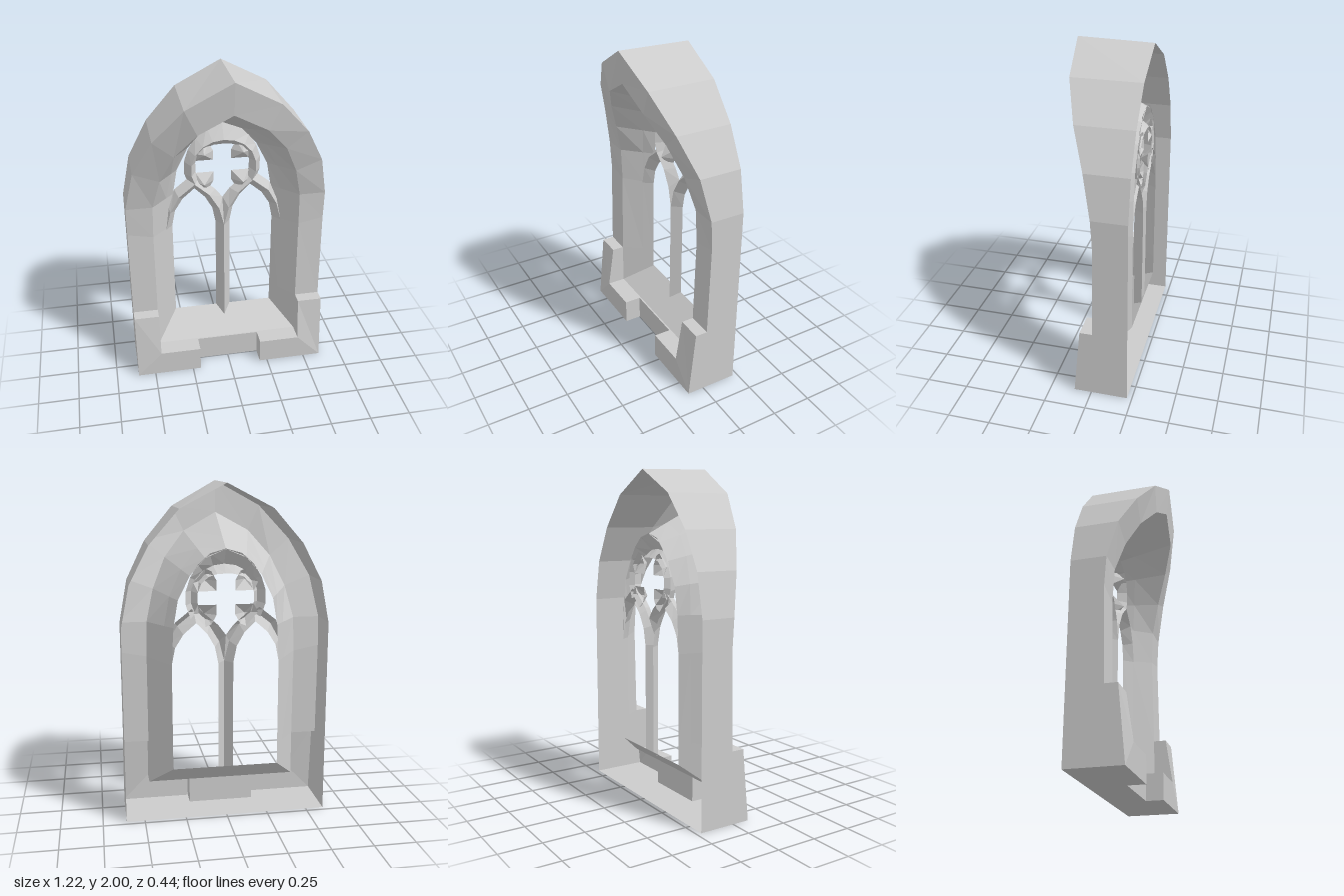
import * as THREE from 'three';

const material = new THREE.MeshStandardMaterial({ color: 0xcccccc, flatShading: true, side: THREE.DoubleSide });
const BACK = -0.22, EDGE = -0.18, RIDGE = -0.12;

// Flat-shaded sheet spanning rows of [x, y, z] points
function sheet(name, rows) {
  const pos = [];
  for (let r = 0; r + 1 < rows.length; r++) {
    for (let i = 0; i + 1 < rows[r].length; i++) {
      const a = rows[r][i], b = rows[r][i + 1], c = rows[r + 1][i + 1], d = rows[r + 1][i];
      pos.push(...a, ...b, ...c, ...a, ...c, ...d);
    }
  }
  const geometry = new THREE.BufferGeometry();
  geometry.setAttribute('position', new THREE.Float32BufferAttribute(pos, 3));
  geometry.computeVertexNormals();
  const mesh = new THREE.Mesh(geometry, material);
  mesh.name = name;
  return mesh;
}

const quad = (name, a, b, c, d) => sheet(name, [[a, b], [d, c]]);
const flip = ([x, y, z]) => [-x, y, z];
// Half path ending on the centre line -> full path
const full = (half) => [...half, ...half.slice(0, -1).reverse().map(flip)];
const mix = (a, b, t) => a.map((v, k) => v + (b[k] - v) * t);
const atZ = (pts, z) => pts.map(([x, y]) => [x, y, z]);

function createFrame() {
  const g = new THREE.Group();
  g.name = 'frame';
  // Pointed arch outlines from springing to apex
  const outer = full([[0.61, 0.43, -0.01], [0.61, 1.0, -0.02], [0.61, 1.18, -0.01], [0.56, 1.43, 0.04],
    [0.445, 1.65, 0.12], [0.27, 1.85, 0.19], [0, 2, 0.22]]);
  const inner = full([[0.455, 0.43, -0.01], [0.455, 0.97, -0.02], [0.45, 1.18, -0.01], [0.405, 1.37, 0.04],
    [0.325, 1.55, 0.11], [0.2, 1.7, 0.18], [0, 1.81, 0.2]]);
  const opening = full(atZ([[0.32, 0.43], [0.32, 0.95], [0.308, 1.17], [0.28, 1.33],
    [0.21, 1.47], [0.12, 1.57], [0, 1.62]], EDGE));
  g.add(sheet('outerWall', [outer.map(([x, y]) => [x, Math.min(y, 1.99), BACK]), outer]));
  g.add(sheet('frontFace', [outer, inner]));

  // Reveal runs down to the sill corners
  const sillFront = [0.455, 0.16, -0.01], sillBack = [0.32, 0.3, EDGE];
  const front = [sillFront, ...inner, flip(sillFront)];
  const rear = [sillBack, ...opening, flip(sillBack)];
  const middle = front.map((p, i) => mix(p, rear[i], 0.66));
  g.add(sheet('reveal', [front, middle, rear]));
  g.add(quad('sill', flip(sillFront), sillFront, sillBack, flip(sillBack)));
  return g;
}

// L-shaped corner block, open at the back; s mirrors it
function createCornerBlock(s) {
  const g = new THREE.Group();
  g.name = s > 0 ? 'leftCornerBlock' : 'rightCornerBlock';
  const add = (name, ...pts) => {
    const p = pts.map(([x, y, z]) => [s * x, y, z]);
    g.add(quad(name, ...(s > 0 ? p : p.reverse())));
  };
  const F = 0.105, T = 0.065, N = -0.01, C = 0;
  add('blockColumn', [0.61, 0, F], [0.61, 0.43, T], [0.455, 0.43, T], [0.455, 0.16, F]);
  add('blockBar', [0.2, 0, F], [0.61, 0, F], [0.455, 0.16, F], [0.2, 0.16, F]);
  add('blockTop', [0.455, 0.43, T], [0.61, 0.43, T], [0.61, 0.43, N], [0.455, 0.43, N]);
  add('barTop', [0.2, 0.16, F], [0.455, 0.16, F], [0.455, 0.16, N], [0.2, 0.16, N]);
  add('columnInnerSide', [0.455, 0.16, N], [0.455, 0.16, F], [0.455, 0.43, T], [0.455, 0.43, N]);
  add('barEnd', [0.2, 0, C], [0.2, 0, F], [0.2, 0.16, F], [0.2, 0.16, C]);
  add('blockOuterSide', [0.61, 0, F], [0.61, 0, N], [0.61, 0.43, N], [0.61, 0.43, T]);
  add('wallFoot', [0.61, 0, N], [0.61, 0, BACK], [0.61, 0.43, BACK], [0.61, 0.43, N]);
  add('blockUnderside', [0.2, 0, BACK], [0.61, 0, BACK], [0.61, 0, F], [0.2, 0, F]);
  return g;
}

function createBaseCentre() {
  const g = new THREE.Group();
  g.name = 'baseCentre';
  g.add(quad('basePanel', [-0.2, 0, 0], [0.2, 0, 0], [0.2, 0.16, 0], [-0.2, 0.16, 0]));
  g.add(quad('basePanelTop', [-0.2, 0.16, 0], [0.2, 0.16, 0], [0.2, 0.16, -0.01], [-0.2, 0.16, -0.01]));
  g.add(quad('basePanelUnderside', [-0.2, 0, BACK], [0.2, 0, BACK], [0.2, 0, 0], [-0.2, 0, 0]));
  return g;
}

function createTracery() {
  const g = new THREE.Group();
  g.name = 'tracery';

  // Ridged central mullion
  g.add(sheet('mullion', [
    [[0.045, 0.3, EDGE], [0.045, 0.95, EDGE]],
    [[0, 0.25, RIDGE], [0, 0.95, RIDGE]],
    [[-0.045, 0.3, EDGE], [-0.045, 0.95, EDGE]],
  ]));

  // Ridged ribs arching over each light
  const outerRib = [
    [[0.365, 0.95, RIDGE], [0.342, 1.09, -0.145], [0.3, 1.2, EDGE], [0.2, 1.28, EDGE]],
    atZ([[0.365, 0.95], [0.335, 1.07], [0.28, 1.17], [0.18, 1.25]], RIDGE),
    atZ([[0.32, 0.95], [0.3, 1.05], [0.25, 1.13], [0.175, 1.195]], EDGE),
  ];
  const innerRib = [
    atZ([[0.045, 0.95], [0.065, 1.05], [0.11, 1.13], [0.175, 1.195]], EDGE),
    atZ([[0, 0.95], [0.03, 1.07], [0.09, 1.17], [0.18, 1.25]], RIDGE),
    [[0, 0.95, RIDGE], [0, 1.12, EDGE], [0.045, 1.18, EDGE], [0.15, 1.27, EDGE]],
  ];
  for (const rib of [outerRib, innerRib]) {
    g.add(sheet('leftLightRib', rib));
    g.add(sheet('rightLightRib', rib.map((row) => row.map(flip)).reverse()));
  }

  // Ring above the lights, swelling to meet the arch at the top
  const cy = 1.34, n = 12;
  const ringRow = (r, swell, z) => Array.from({ length: n + 1 }, (_, i) => {
    const a = THREE.MathUtils.degToRad(-30 + (240 * i) / n);
    const radius = r + swell * Math.max(0, Math.sin(a)) ** 4;
    return [radius * Math.cos(a), cy + radius * Math.sin(a), z];
  });
  g.add(sheet('rosetteRing', [ringRow(0.238, 0.045, EDGE), ringRow(0.2, -0.01, RIDGE), ringRow(0.168, -0.028, EDGE)]));

  // Four faceted cusps leaving a cross-shaped opening
  const outline = [[0.165, 0.04], [0.19, 0.09], [0.12, 0.17], [0.085, 0.155], [0.055, 0.1], [0.055, 0.04], [0.11, 0.04]];
  for (const sx of [1, -1]) {
    for (const sy of [1, -1]) {
      const rim = [...outline, outline[0]].map(([x, y]) => [sx * x, cy + sy * y, EDGE]);
      if (sx * sy < 0) rim.reverse();
      const peak = rim.map(() => [sx * 0.12, cy + sy * 0.1, RIDGE]);
      g.add(sheet('cusp', [rim, peak]));
    }
  }
  return g;
}

export function createModel() {
  const model = new THREE.Group();
  model.name = 'gothicWindow';
  model.add(createFrame(), createCornerBlock(1), createCornerBlock(-1), createBaseCentre(), createTracery());
  return model;
}
